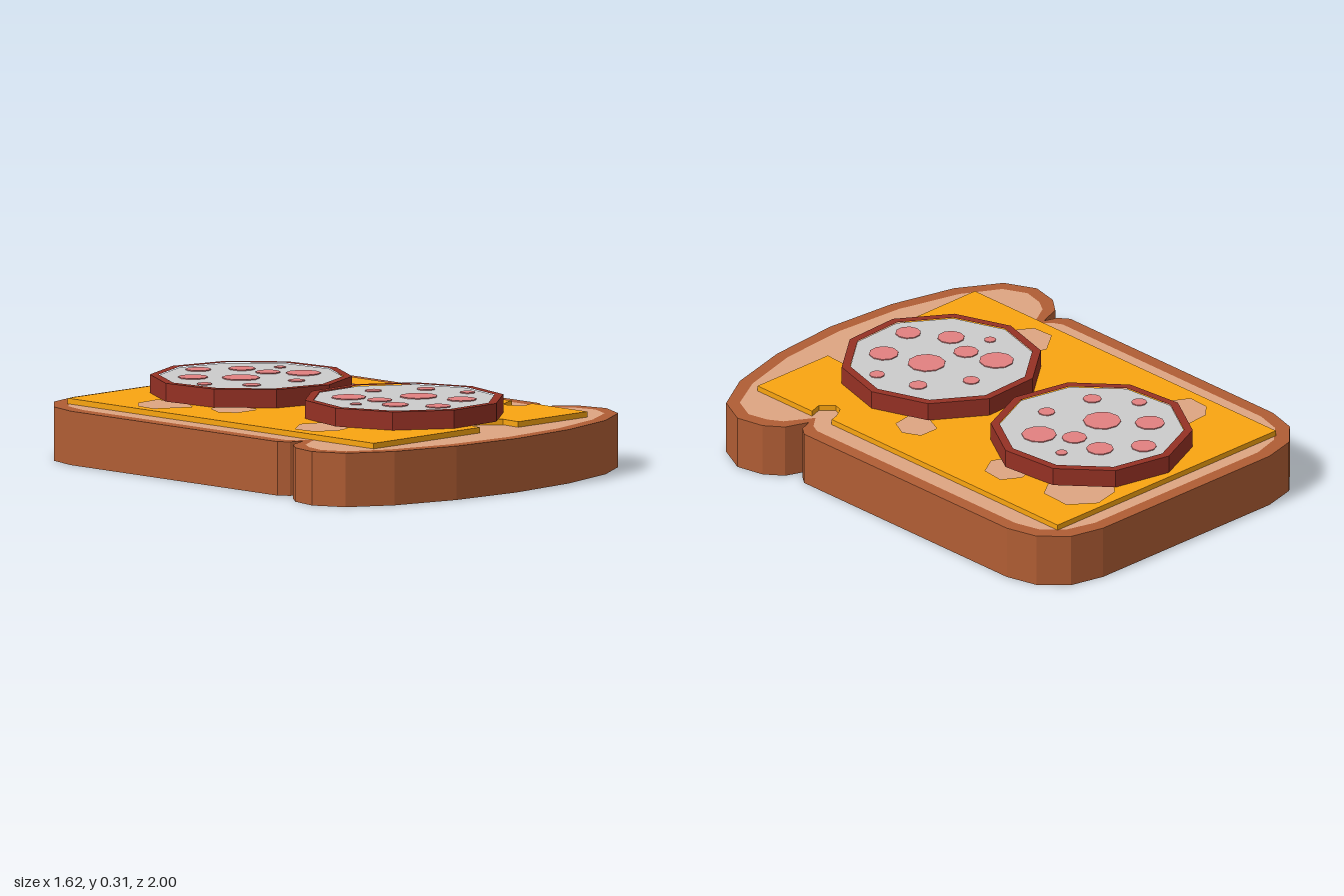
import * as THREE from 'three';

const mat = (color) => new THREE.MeshStandardMaterial({ color, flatShading: true });
const path = (pts) => pts.map(([x, z]) => new THREE.Vector2(x, -z));

// Upright slab from a plan outline of [x, z] points, with optional holes
function slab(name, outline, y, height, material, holes = []) {
  const shape = new THREE.Shape(path(outline));
  for (const h of holes) shape.holes.push(new THREE.Path(path(h)));
  const geo = new THREE.ExtrudeGeometry(shape, { depth: height, bevelEnabled: false });
  geo.rotateX(-Math.PI / 2);
  const mesh = new THREE.Mesh(geo, material);
  mesh.name = name;
  mesh.position.y = y;
  return mesh;
}

// Mirror a right-hand half outline; first and last points lie on x = 0
const mirror = (half) => [...half, ...half.slice(1, -1).reverse().map(([x, z]) => [-x, z])];

const polygon = (r, n, start = 0, cx = 0, cz = 0) =>
  Array.from({ length: n }, (_, i) => {
    const a = start + (i / n) * Math.PI * 2;
    return [cx + r * Math.cos(a), cz + r * Math.sin(a)];
  });

// Salami slice: rind, meat and flecks [x, z, radius]
function salamiSlice(mats) {
  const slice = new THREE.Group();
  const start = -1.67;
  const outer = polygon(0.394, 10, start);
  const inner = polygon(0.36, 10, start);
  slice.add(slab('rind', outer, 0, 0.072, mats.rind, [inner]));
  slice.add(slab('meat', inner, 0, 0.069, mats.meat));
  const flecks = [
    [-0.03, -0.26, 0.05], [-0.187, -0.132, 0.058], [0.108, -0.158, 0.053], [0.24, -0.08, 0.023],
    [-0.066, 0.01, 0.074], [0.113, -0.02, 0.049], [-0.282, 0.026, 0.03], [0.193, 0.095, 0.068],
    [-0.171, 0.174, 0.036], [0.035, 0.216, 0.033],
  ];
  for (const [x, z, r] of flecks) {
    slice.add(slab('fleck', polygon(r, 10, 0.2, x, z), 0.066, 0.007, mats.fleck));
  }
  return slice;
}

export function createModel() {
  const model = new THREE.Group();
  model.name = 'openSandwich';

  // Bread: crust ring around a crumb core
  const crust = mirror([
    [0, -1], [0.45, -1], [0.59, -0.965], [0.685, -0.87], [0.72, -0.74], [0.72, 0.395],
    [0.69, 0.435], [0.635, 0.455], [0.73, 0.49], [0.785, 0.56], [0.81, 0.675],
    [0.75, 0.8], [0.58, 0.9], [0.31, 0.97], [0, 0.995],
  ]);
  const crumb = mirror([
    [0, -0.945], [0.44, -0.945], [0.56, -0.91], [0.635, -0.84], [0.665, -0.73], [0.665, 0.38],
    [0.645, 0.42], [0.59, 0.465], [0.7, 0.53], [0.735, 0.585], [0.755, 0.67],
    [0.71, 0.765], [0.56, 0.85], [0.3, 0.92], [0, 0.943],
  ]);
  model.add(slab('crust', crust, 0, 0.212, mat(0xb05d34), [crumb]));
  model.add(slab('crumb', crumb, 0, 0.212, mat(0xdea582)));

  // Cheese sheet with bites in the front and right edges, and faceted holes
  const cheese = [
    [-0.59, -0.89], [0.59, -0.89], [0.585, 0.38], [0.55, 0.39], [0.5, 0.42], [0.49, 0.455],
    [0.535, 0.503], [0.59, 0.485], [0.59, 0.79], [0.21, 0.79], [0.215, 0.7], [0.11, 0.62],
    [0.02, 0.68], [0, 0.79], [-0.59, 0.795],
  ];
  const cheeseHoles = [
    [[0.2, -0.8], [0.23, -0.835], [0.34, -0.86], [0.44, -0.785], [0.435, -0.655], [0.37, -0.61], [0.24, -0.66]],
    [[-0.49, -0.6], [-0.38, -0.61], [-0.33, -0.5], [-0.41, -0.385], [-0.545, -0.46], [-0.54, -0.55]],
    [[-0.39, -0.3], [-0.32, -0.31], [-0.27, -0.24], [-0.28, -0.155], [-0.39, -0.155], [-0.43, -0.22]],
    [[0.32, -0.47], [0.4, -0.495], [0.475, -0.45], [0.465, -0.355], [0.39, -0.31], [0.32, -0.34]],
    [[0.345, 0.04], [0.43, 0.04], [0.465, 0.11], [0.43, 0.18], [0.335, 0.195], [0.31, 0.12]],
    [[-0.44, 0.24], [-0.36, 0.27], [-0.33, 0.35], [-0.38, 0.44], [-0.45, 0.455], [-0.53, 0.4], [-0.535, 0.31]],
  ];
  model.add(slab('cheese', cheese, 0.212, 0.022, mat(0xfaa511), cheeseHoles));

  // Two salami slices, the front one turned
  const mats = { rind: mat(0x953124), meat: mat(0xcccccc), fleck: mat(0xe28181) };
  const back = salamiSlice(mats);
  back.name = 'backSalami';
  back.position.set(0, 0.234, -0.47);
  const front = salamiSlice(mats);
  front.name = 'frontSalami';
  front.position.set(0.012, 0.234, 0.36);
  front.rotation.y = -3.51;
  model.add(back, front);

  return model;
}
